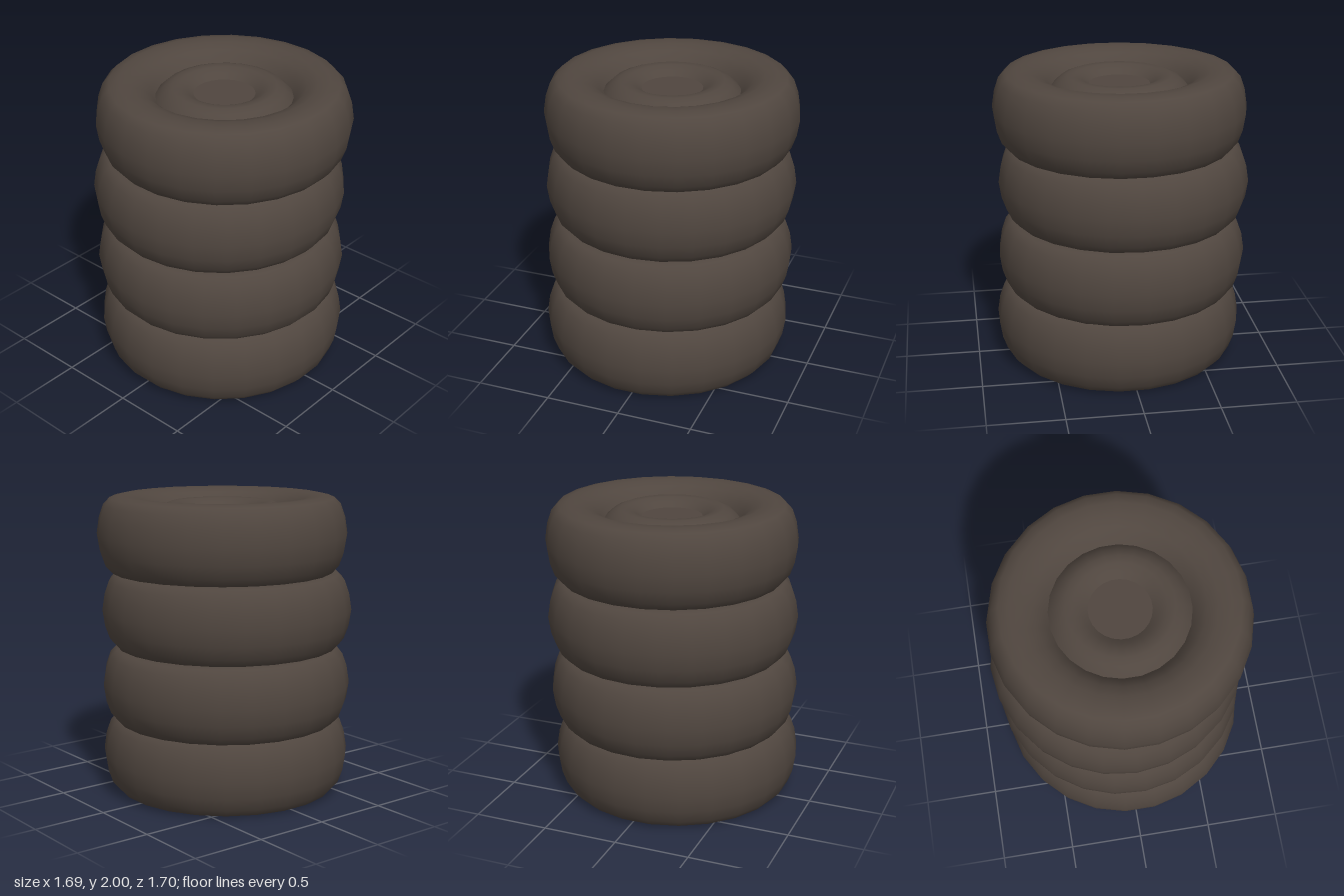
import * as THREE from 'three';

const rubber = new THREE.MeshStandardMaterial({ color: 0x50463f });
rubber.name = 'darkRubber';

const SIDES = 24;

// Smooth turned solid from [radius, height] pairs, listed from bottom to top
function turned(name, profile) {
  const points = profile.map(([r, y]) => new THREE.Vector2(r, y));
  const mesh = new THREE.Mesh(new THREE.LatheGeometry(points, SIDES), rubber);
  mesh.name = name;
  return mesh;
}

// Rounded tyre with a closed underside and a dished upper sidewall
const tyreProfile = [
  [0, -0.255], [0.4, -0.255], [0.68, -0.255], [0.745, -0.245], [0.79, -0.195],
  [0.82, -0.11], [0.837, 0], [0.82, 0.11], [0.79, 0.195], [0.745, 0.24],
  [0.68, 0.255], [0.6, 0.25], [0.53, 0.225], [0.47, 0.175], [0.43, 0.11],
];

// Hub: raised ring around a sunken flat disc
const hubProfile = [
  [0.47, 0.1], [0.44, 0.145], [0.39, 0.19], [0.34, 0.21], [0.29, 0.208],
  [0.24, 0.185], [0.2, 0.155],
];
const discProfile = [[0.2, 0.155], [0, 0.155]];

// Slightly shifted stack: x, centre height, z, turn in steps of one side
const stack = [
  [-0.022, 0.255, 0.022, 0.5],
  [-0.01, 0.735, 0, 0.25],
  [-0.006, 1.245, -0.014, 0],
  [0.012, 1.745, 0.014, 0.5],
];

export function createModel() {
  const model = new THREE.Group();
  model.name = 'tyreStack';
  stack.forEach(([x, y, z, turn], i) => {
    const tyre = new THREE.Group();
    tyre.name = `tyre${i + 1}`;
    tyre.add(
      turned('tyreBody', tyreProfile),
      turned('hubRing', hubProfile),
      turned('hubDisc', discProfile),
    );
    tyre.position.set(x, y, z);
    tyre.rotation.y = (turn * Math.PI * 2) / SIDES;
    model.add(tyre);
  });
  return model;
}
